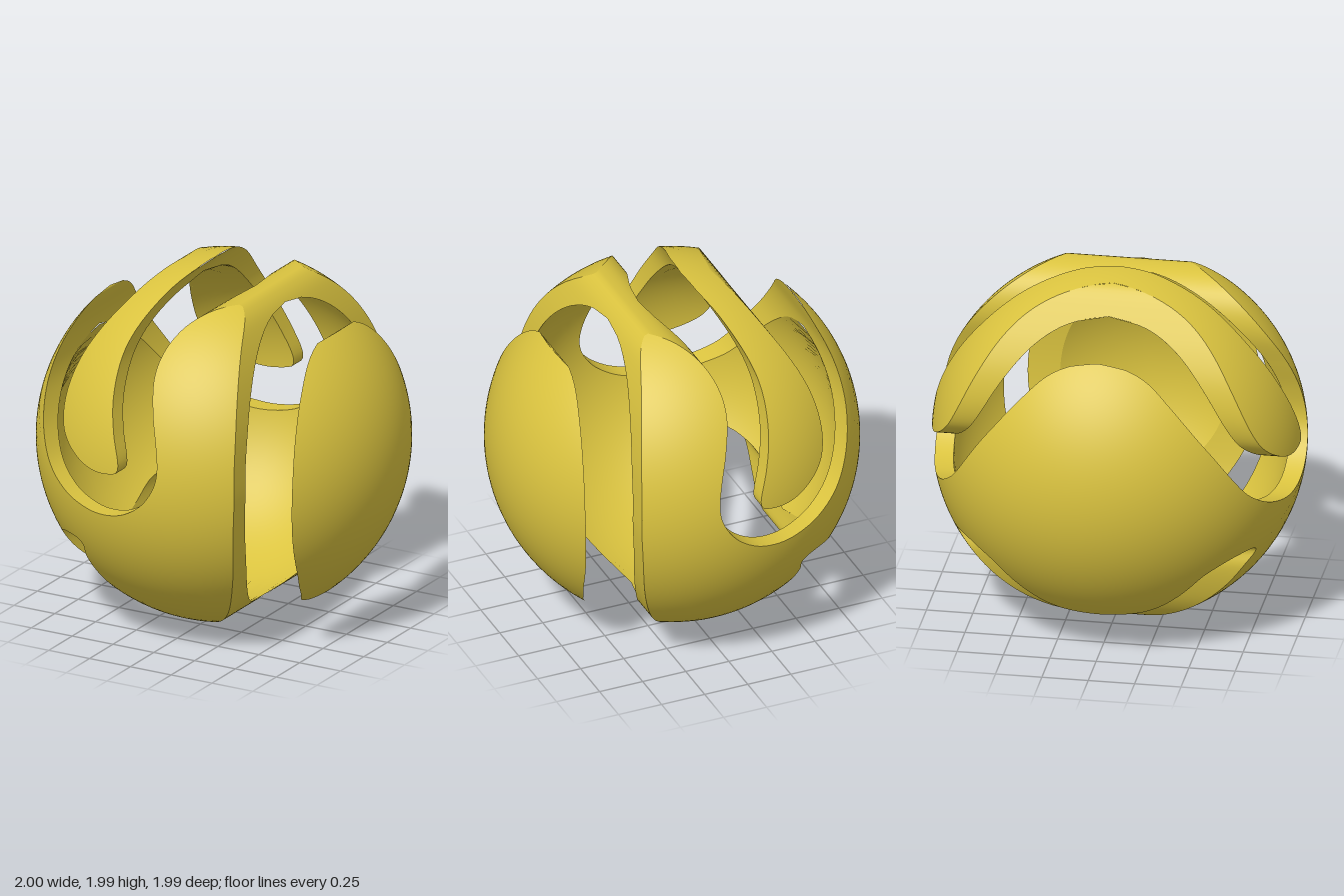
import * as THREE from 'three';

const OUTER = 1, INNER = 0.9, MAX_EDGE = 0.07;

// Outlines of the pieces in x, y. Each ends on the rim and is closed along it.
const OUTLINES = {
  mainShell: [-0.695, 1.715, -0.715, 1.66, -0.755, 1.53, -0.767, 1.4, -0.75, 1.27, -0.695, 1.11, -0.605, 0.97,
    -0.47, 0.877, -0.337, 0.834, -0.21, 0.82, -0.07, 0.845, 0.053, 0.92, 0.128, 1.025, 0.15, 1.13, 0.128, 1.27,
    0.08, 1.43, 0.037, 1.59, 0.043, 1.71, 0.09, 1.807, 0.17, 1.87, 0.262, 1.895, 0.315, 1.885, 0.385, 1.8,
    0.465, 1.594, 0.519, 1.35, 0.54, 1.107, 0.54, 0.92, 0.508, 0.65, 0.45, 0.44, 0.358, 0.257, 0.24, 0.128,
    0.09, 0.045, -0.053, 0.005, -0.16, 0.025, -0.257, 0.086, -0.337, 0.193, -0.39, 0.33, -0.417, 0.465,
    -0.402, 0.55, -0.428, 0.585, -0.497, 0.593, -0.588, 0.572, -0.652, 0.52, -0.663, 0.465, -0.647, 0.36,
    -0.62, 0.255, -0.635, 0.228],
  innerTongue: [-0.05, 2, -0.112, 1.925, -0.177, 1.775, -0.198, 1.64, -0.177, 1.455, -0.134, 1.294, -0.09, 1.16,
    -0.085, 1.096, -0.118, 1.07, -0.23, 1.06, -0.337, 1.086, -0.444, 1.15, -0.508, 1.235, -0.53, 1.37,
    -0.503, 1.535, -0.433, 1.695, -0.32, 1.872, -0.257, 1.952, -0.22, 1.976],
  sideCrescent: [0.7, 1.714, 0.684, 1.71, 0.69, 1.675, 0.733, 1.508, 0.765, 1.294, 0.778, 1.05, 0.765, 0.786,
    0.727, 0.52, 0.668, 0.342, 0.616, 0.25, 0.622, 0.23, 0.64, 0.232],
};

// Smooth closed outline, centred on the sphere and counter-clockwise
function outlinePoints(flat) {
  const ctrl = [];
  for (let i = 0; i < flat.length; i += 2) ctrl.push(new THREE.Vector2(flat[i], flat[i + 1] - 1));
  ctrl[0].normalize();
  ctrl[ctrl.length - 1].normalize();
  const curve = new THREE.SplineCurve(ctrl);
  curve.arcLengthDivisions = 1500;
  const pts = curve.getSpacedPoints(Math.ceil(curve.getLength() / 0.024));
  pts.forEach(p => p.clampLength(0, OUTER));
  const a = pts[pts.length - 1].angle();
  let turn = pts[0].angle() - a;
  if (turn > Math.PI) turn -= 2 * Math.PI;
  if (turn < -Math.PI) turn += 2 * Math.PI;
  const steps = Math.ceil(Math.abs(turn) / 0.04);
  for (let i = 1; i < steps; i++) {
    const t = a + turn * i / steps;
    pts.push(new THREE.Vector2(Math.cos(t), Math.sin(t)));
  }
  return THREE.ShapeUtils.isClockWise(pts) ? pts.reverse() : pts;
}

// Halve every edge longer than MAX_EDGE
function refine(a, b, c, out) {
  const ab = a.distanceTo(b), bc = b.distanceTo(c), ca = c.distanceTo(a);
  const longest = Math.max(ab, bc, ca);
  if (longest <= MAX_EDGE) { out.push([a, b, c]); return; }
  if (longest === bc) [a, b, c] = [b, c, a];
  else if (longest === ca) [a, b, c] = [c, a, b];
  const m = a.clone().add(b).multiplyScalar(0.5);
  refine(a, m, c, out);
  refine(m, b, c, out);
}

const depth = (r, radius) => Math.sqrt(Math.max(0, radius * radius - r * r));

// Spherical shell cut straight through along z by the outline
function shellGeometry(flat) {
  const pts = outlinePoints(flat), n = pts.length;
  const pos = [], nor = [];
  const put = (x, y, z, nx, ny, nz) => { pos.push(x, y, z); nor.push(nx, ny, nz); };

  // Spread the outline by arc length over the sphere, then mesh it evenly
  const spread = pts.map(p => {
    const r = p.length();
    return p.clone().multiplyScalar(r > 1e-6 ? Math.asin(Math.min(1, r)) / r : 1);
  });
  const tris = [];
  for (const [i, j, k] of THREE.ShapeUtils.triangulateShape(spread, [])) {
    refine(spread[i], spread[j], spread[k], tris);
  }

  // Outer and inner skins, front and back
  for (const tri of tris) {
    const flatTri = tri.map(u => {
      const s = u.length();
      return u.clone().multiplyScalar(s > 1e-6 ? Math.sin(Math.min(s, Math.PI / 2)) / s : 1);
    });
    for (const radius of [OUTER, INNER]) {
      if (radius === INNER && flatTri.every(p => p.length() >= INNER)) continue;
      const facing = radius === OUTER ? 1 : -1;
      for (const side of [1, -1]) {
        const order = facing * side > 0 ? [0, 1, 2] : [0, 2, 1];
        for (const k of order) {
          const p = flatTri[k].clone().clampLength(0, radius);
          const z = side * depth(p.length(), radius), f = facing / radius;
          put(p.x, p.y, z, p.x * f, p.y * f, z * f);
        }
      }
    }
  }

  // Cut walls joining the two skins
  const normals = pts.map((p, i) => {
    const d = pts[(i + 1) % n].clone().sub(pts[(i + n - 1) % n]).normalize();
    return new THREE.Vector2(d.y, -d.x);
  });
  for (let i = 0; i < n; i++) {
    const j = (i + 1) % n;
    const [pi, pj] = [depth(pts[i].length(), OUTER), depth(pts[j].length(), OUTER)];
    if (pi < 1e-5 && pj < 1e-5) continue;
    const [qi, qj] = [depth(pts[i].length(), INNER), depth(pts[j].length(), INNER)];
    const quads = [[qi, qj, pj, pi], [-pi, -pj, -qj, -qi]];
    for (const z of quads) {
      for (const k of [0, 1, 2, 0, 2, 3]) {
        const e = k === 0 || k === 3 ? i : j;
        put(pts[e].x, pts[e].y, z[k], normals[e].x, normals[e].y, 0);
      }
    }
  }

  const geo = new THREE.BufferGeometry();
  geo.setAttribute('position', new THREE.Float32BufferAttribute(pos, 3));
  geo.setAttribute('normal', new THREE.Float32BufferAttribute(nor, 3));
  return geo;
}

export function createModel() {
  const group = new THREE.Group();
  group.name = 'cutSphere';
  const gold = new THREE.MeshStandardMaterial({ color: 0xdac33f });
  gold.name = 'gold';
  for (const [name, outline] of Object.entries(OUTLINES)) {
    const mesh = new THREE.Mesh(shellGeometry(outline), gold);
    mesh.name = name;
    mesh.position.y = 1;
    group.add(mesh);
  }
  return group;
}
